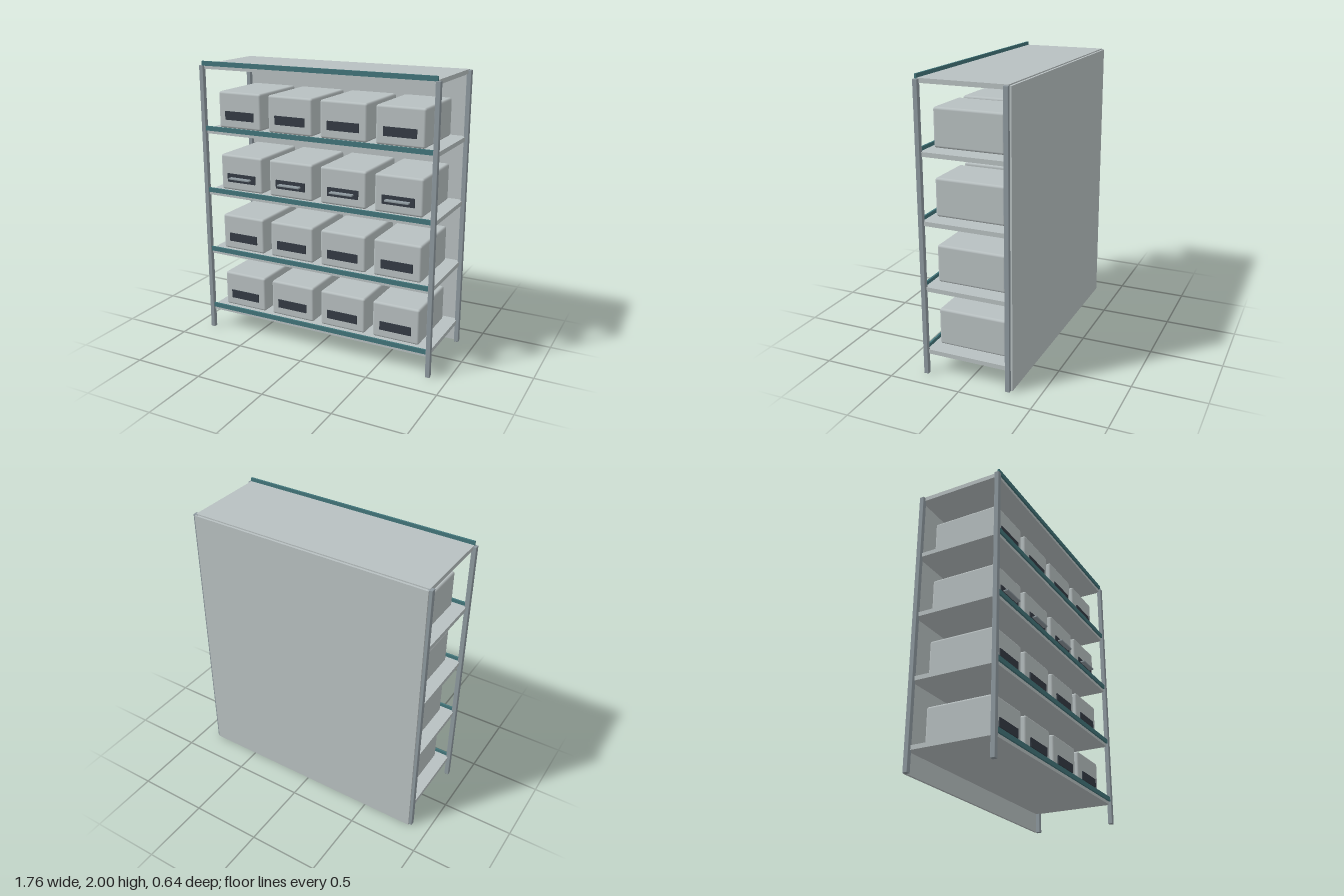
import * as THREE from 'three';
import { RoundedBoxGeometry } from 'three/addons/geometries/RoundedBoxGeometry.js';

const paint = (name, color) => {
  const m = new THREE.MeshStandardMaterial({ color });
  m.name = name;
  return m;
};

export function createModel() {
  const model = new THREE.Group();
  model.name = 'storageRack';
  const lightGrey = paint('lightGrey', 0xb8c0c1);
  const steel = paint('steelGrey', 0x8e999f);
  const teal = paint('teal', 0x42757a);
  const dark = paint('darkSlate', 0x343b44);

  // Box given by its lower and upper corners; radius rounds the edges
  const block = (name, material, [x0, y0, z0], [x1, y1, z1], radius = 0, parent = model) => {
    const size = [x1 - x0, y1 - y0, z1 - z0];
    const geometry = radius
      ? new RoundedBoxGeometry(...size, 3, radius)
      : new THREE.BoxGeometry(...size);
    const mesh = new THREE.Mesh(geometry, material);
    mesh.name = name;
    mesh.position.set((x0 + x1) / 2, (y0 + y1) / 2, (z0 + z1) / 2);
    parent.add(mesh);
    return mesh;
  };

  // Corner posts
  for (const [side, cx] of [['left', 0.865], ['right', -0.865]]) {
    block(`${side}FrontPost`, steel, [cx - 0.016, 0, 0.286], [cx + 0.016, 1.97, 0.318], 0.003);
    block(`${side}BackPost`, steel, [cx - 0.016, 0, -0.306], [cx + 0.016, 1.97, -0.273], 0.003);
  }

  // Back panel and top board with its raised lip
  block('backPanel', lightGrey, [-0.86, 0.003, -0.318], [0.86, 1.968, -0.302]);
  block('topBoard', lightGrey, [-0.86, 1.945, -0.3], [0.86, 1.975, 0.3]);
  block('topLip', teal, [-0.862, 1.968, 0.299], [0.862, 2, 0.312]);

  // Shelves, each with a lip and four bins
  for (let row = 0; row < 4; row++) {
    const y = 0.142 + row * 0.45;
    const shelf = new THREE.Group();
    shelf.name = `shelfRow${row + 1}`;
    model.add(shelf);
    block('shelf', lightGrey, [-0.86, y, -0.302], [0.86, y + 0.03, 0.3], 0, shelf);
    block('shelfLip', teal, [-0.862, y + 0.022, 0.299], [0.862, y + 0.054, 0.312], 0, shelf);

    for (let i = 0; i < 4; i++) {
      const x = -0.605 + i * 0.402;
      const bin = new THREE.Group();
      bin.name = `bin${i + 1}`;
      shelf.add(bin);
      block('binBody', lightGrey, [x - 0.171, y + 0.04, -0.233], [x + 0.171, y + 0.297, 0.249], 0.016, bin);
      block('labelPlate', dark, [x - 0.115, y + 0.101, 0.248], [x + 0.115, y + 0.162, 0.257], 0, bin);
      // Pull handles on the third row only
      if (row === 2) {
        block('handle', steel, [x - 0.085, y + 0.126, 0.256], [x + 0.085, y + 0.138, 0.29], 0.003, bin);
      }
    }
  }
  return model;
}
